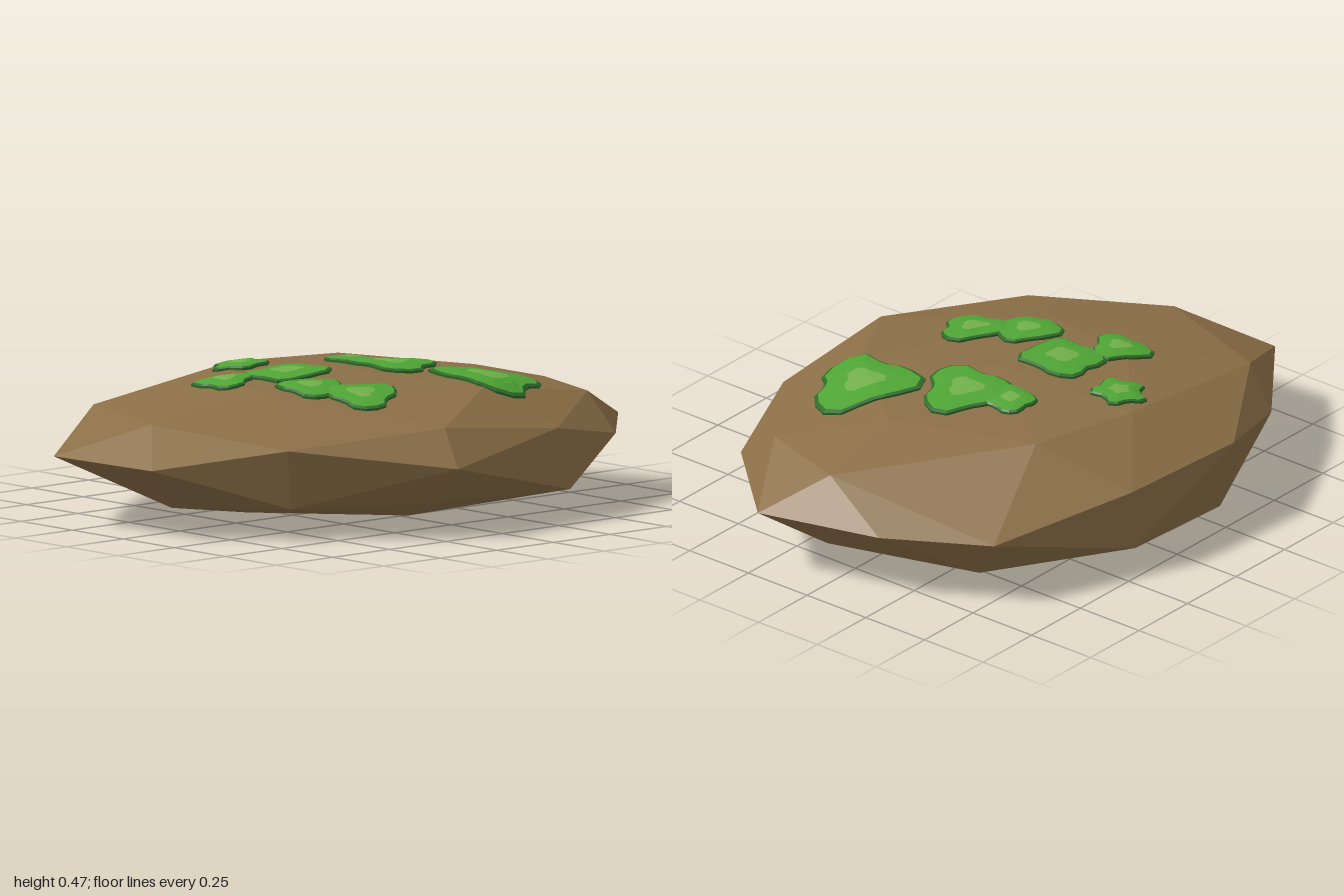
import * as THREE from 'three';
import { ConvexGeometry } from 'three/addons/geometries/ConvexGeometry.js';

// Corners of the faceted rock by level: height, then [x, z] of each corner
const ROCK_LEVELS = [
  [0.46, [[-0.05, 0]]],
  [0.43, [[-0.52, 0.05], [0.42, -0.22], [0.1, 0.4], [-0.22, 0.38], [0.06, -0.5], [-0.42, -0.33]]],
  [0.355, [[0.645, 0.16], [-0.05, 0.83], [-0.5, 0.68], [0.37, -0.72], [0.05, -0.82]]],
  [0.305, [[0.655, -0.33], [0.43, 0.66], [-0.76, 0.28], [-0.73, -0.21]]],
  [0.235, [[-0.63, 0.63], [-0.34, 1], [0.11, 0.975], [0.755, 0.2],
    [0.53, -0.7], [0.21, -1], [-0.21, -0.885], [-0.54, -0.69]]],
  [0.105, [[-0.745, -0.21], [0.695, -0.35], [0.62, 0.2], [0.4, 0.62]]],
  [0.07, [[-0.725, 0.25], [-0.05, 0.74], [-0.5, 0.55], [0.1, -0.775], [-0.42, -0.62], [0.45, -0.58]]],
  [0.03, [[0.4, 0.1], [-0.45, 0.1], [0, 0.45], [0, -0.5]]],
  [0, [[-0.05, 0]]],
];

// Moss lobes grouped into patches: x, z, radius, corners, corner depth, angle of first corner
const MOSS_PATCHES = [
  [[0.3, -0.35, 0.17, 3, 0.22, -90]],
  [[-0.02, -0.21, 0.145, 3, 0.22, -90], [-0.18, -0.17, 0.08, 4, 0.12, -130]],
  [[-0.12, 0.17, 0.132, 4, 0.13, -45], [-0.2, 0.37, 0.095, 3, 0.2, -90]],
  [[0.27, 0.19, 0.118, 3, 0.2, -90], [0.11, 0.27, 0.105, 3, 0.15, -90]],
  [[-0.405, 0.12, 0.085, 5, 0.18, -45]],
];
const SEGMENTS = 20;

// Each lobe has a dark edge, a green top and a pale crown, as rings of [scale, lift]
const MOSS_LAYERS = [
  ['mossEdge', 0x2f6b2a, [[0.98, -0.01], [1, 0.008], [0.92, 0.013]]],
  ['mossTop', 0x4fa535, [[0.92, 0.013], [0.65, 0.017], [0.38, 0.019]]],
  ['mossCrown', 0x72b04a, [[0.38, 0.019], [0.15, 0.021], [0, 0.021]]],
];

function buildRock() {
  const corners = ROCK_LEVELS.flatMap(([y, ring]) => ring.map(([x, z]) => new THREE.Vector3(x, y, z)));
  const rock = new THREE.Mesh(
    new ConvexGeometry(corners),
    new THREE.MeshStandardMaterial({ color: 0x8b6f47, flatShading: true }),
  );
  rock.name = 'rock';
  return rock;
}

// Stacked rings of a lobe, draped over the rock by the surface function
function mossSkin([cx, cz, radius, corners, depth, start], rings, surface) {
  const positions = [];
  const index = [];
  rings.forEach(([scale, lift], r) => {
    for (let i = 0; i < SEGMENTS; i++) {
      const angle = (i / SEGMENTS) * Math.PI * 2;
      const bulge = depth * Math.cos(corners * (angle - THREE.MathUtils.degToRad(start)));
      const reach = radius * scale * (1 + bulge + 0.04 * Math.cos(7 * angle));
      const x = cx + reach * Math.cos(angle);
      const z = cz + reach * Math.sin(angle);
      positions.push(x, surface(x, z) + lift, z);
      if (r > 0) {
        const a = (r - 1) * SEGMENTS + i;
        const b = (r - 1) * SEGMENTS + (i + 1) % SEGMENTS;
        index.push(a, a + SEGMENTS, b, b, a + SEGMENTS, b + SEGMENTS);
      }
    }
  });
  const geometry = new THREE.BufferGeometry();
  geometry.setAttribute('position', new THREE.Float32BufferAttribute(positions, 3));
  geometry.setIndex(index);
  geometry.computeVertexNormals();
  return geometry;
}

export function createModel() {
  const model = new THREE.Group();
  const rock = buildRock();
  model.add(rock);

  // Height of the rock's top surface at x, z
  const ray = new THREE.Raycaster();
  const down = new THREE.Vector3(0, -1, 0);
  const surface = (x, z) => {
    ray.set(new THREE.Vector3(x, 2, z), down);
    return ray.intersectObject(rock)[0].point.y;
  };

  const layers = MOSS_LAYERS.map(([name, color, rings]) => ({
    name,
    rings,
    material: new THREE.MeshStandardMaterial({ color, flatShading: true, side: THREE.DoubleSide }),
  }));
  MOSS_PATCHES.forEach((lobes) => {
    const patch = new THREE.Group();
    patch.name = 'mossPatch';
    lobes.forEach((lobe) => layers.forEach(({ name, rings, material }) => {
      const mesh = new THREE.Mesh(mossSkin(lobe, rings, surface), material);
      mesh.name = name;
      patch.add(mesh);
    }));
    model.add(patch);
  });
  return model;
}
